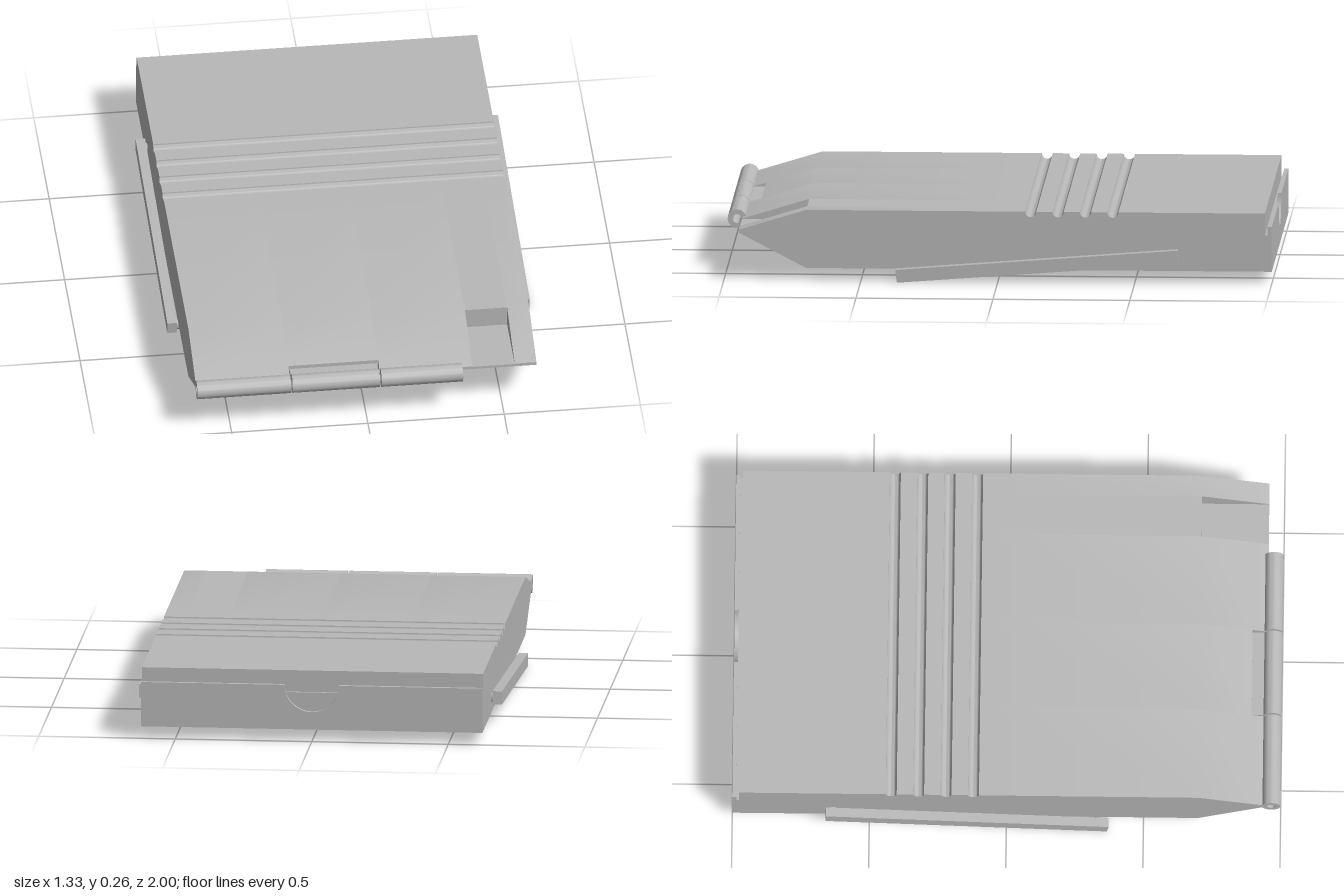
import * as THREE from 'three';
import { toCreasedNormals } from 'three/addons/utils/BufferGeometryUtils.js';

export function createModel() {
  const model = new THREE.Group();
  const grey = new THREE.MeshStandardMaterial({ color: 0xb8b8b8 });
  grey.name = 'grey plastic';

  const add = (name, geometry, parent = model) => {
    const mesh = new THREE.Mesh(toCreasedNormals(geometry, 0.6), grey);
    mesh.name = name;
    parent.add(mesh);
    return mesh;
  };

  // Extrude a side profile (drawn with -z to the right, y up) from x0 to x1
  const extrudeX = (shape, x0, x1) =>
    new THREE.ExtrudeGeometry(shape, { depth: x1 - x0, bevelEnabled: false, curveSegments: 16 })
      .rotateY(Math.PI / 2).translate(x0, 0, 0);

  // Case side profile; the front part of the top changes along the width
  const caseProfile = (noseTop) => {
    const s = new THREE.Shape();
    s.moveTo(0.985, 0.05);
    s.lineTo(-0.7, 0.05);
    noseTop.forEach(([z, y]) => s.lineTo(-z, y));
    for (const c of [0.12, 0.22, 0.32, 0.42]) {
      s.lineTo(c - 0.02, 0.265);
      s.absarc(c, 0.265, 0.02, Math.PI, 2 * Math.PI, false);
    }
    s.lineTo(0.975, 0.265);
    s.lineTo(0.975, 0.185);
    s.lineTo(0.985, 0.185);
    s.closePath();
    return s;
  };
  const plainNose = [[0.945, 0.178], [0.945, 0.19], [0.7, 0.265]];
  const hingeNose = [[0.89, 0.15], [0.89, 0.207], [0.7, 0.265]];
  const slotNose = [[0.945, 0.178], [0.945, 0.188], [0.7, 0.188], [0.7, 0.265]];

  const body = new THREE.Group();
  body.name = 'case';
  model.add(body);
  add('caseRight', extrudeX(caseProfile(plainNose), -0.625, -0.28), body);
  add('caseHingeCutout', extrudeX(caseProfile(hingeNose), -0.28, 0.05), body);
  add('caseMiddle', extrudeX(caseProfile(plainNose), 0.05, 0.39), body);
  add('caseSlot', extrudeX(caseProfile(slotNose), 0.39, 0.545), body);
  add('caseLeft', extrudeX(caseProfile(plainNose), 0.545, 0.625), body);

  // Back wall with a half-round finger notch
  const wall = new THREE.Shape();
  wall.moveTo(-0.625, 0.05);
  wall.lineTo(0.625, 0.05);
  wall.lineTo(0.625, 0.215);
  wall.lineTo(0.1, 0.215);
  wall.absarc(0, 0.215, 0.1, 0, Math.PI, true);
  wall.lineTo(-0.625, 0.215);
  wall.closePath();
  add('backWall', new THREE.ExtrudeGeometry(wall, { depth: 0.015, bevelEnabled: false, curveSegments: 24 })
    .translate(0, 0, -1));

  // Hinge barrel: three hollow knuckles
  const ring = new THREE.Shape();
  ring.absarc(-0.966, 0.183, 0.034, 0, 2 * Math.PI, false);
  const bore = new THREE.Path();
  bore.absarc(-0.966, 0.183, 0.016, 0, 2 * Math.PI, true);
  ring.holes.push(bore);
  for (const [x0, x1] of [[-0.625, -0.281], [-0.275, 0.045], [0.051, 0.35]]) {
    add('hingeKnuckle', extrudeX(ring, x0, x1));
  }
  // Leaf joining the middle knuckle to the case
  add('hingeLeaf', new THREE.BoxGeometry(0.32, 0.02, 0.06).translate(-0.115, 0.183, 0.912));

  // Folding stand: two side arms, pivots and a cross rod
  const arm = new THREE.Shape([[0.373, 0.052], [0.367, 0.005], [-0.66, 0.083], [-0.657, 0.132]]
    .map(([z, y]) => new THREE.Vector2(-z, y)));
  for (const side of [-1, 1]) {
    add('standArm', extrudeX(arm, side > 0 ? 0.63 : -0.665, side > 0 ? 0.665 : -0.63));
    add('standPivot', new THREE.CylinderGeometry(0.018, 0.018, 0.03, 20)
      .rotateZ(Math.PI / 2).translate(side * 0.625, 0.106, -0.635));
  }
  add('standRod', new THREE.CylinderGeometry(0.021, 0.021, 1.27, 24)
    .rotateZ(Math.PI / 2).translate(0, 0.03, 0.345));

  return model;
}
